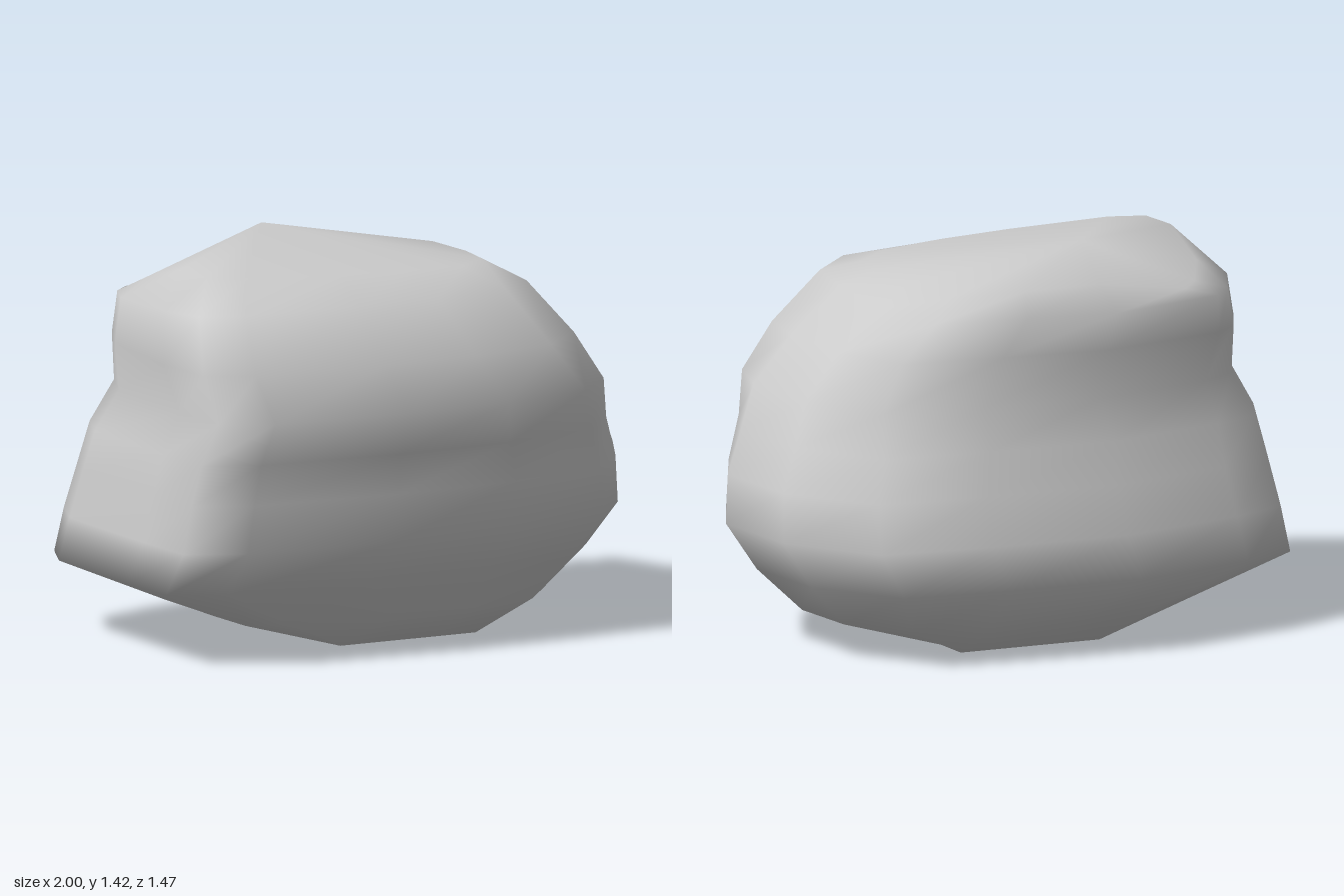
import * as THREE from 'three';

// Plan outlines of the boulder, each axis normalised to -1..1, starting at the front
const lowOutline = [
  [-0.2, 1], [0.3, 0.97], [0.7, 0.83], [0.87, 0.55], [1, 0.17], [0.97, -0.42], [0.75, -0.92], [0.33, -0.98],
  [-0.2, -1], [-0.7, -0.8], [-0.92, -0.66], [-1, -0.39], [-1, 0.4], [-0.99, 0.8], [-0.78, 0.94],
];
// The upper part is cut away at its back -x corner
const highOutline = [
  [-0.15, 1], [0.3, 0.98], [0.72, 0.88], [0.96, 0.6], [1, 0.2], [1, -0.4], [0.88, -0.86], [0.4, -0.93],
  [-0.07, -1], [-0.7, -0.81], [-0.81, -0.66], [-0.93, -0.34], [-1, 0.37], [-0.98, 0.8], [-0.78, 0.95],
];

// Height, extents at that height (x min, x max, z min, z max), rise towards the front
const layers = [
  [0, -0.22, 0.33, -0.43, 0.31, 0],
  [0.11, -0.62, 0.74, -0.58, 0.43, 0],
  [0.27, -1, 0.91, -0.735, 0.57, 0],
  [0.43, -0.98, 1, -0.72, 0.67, 0],
  [0.6, -0.95, 0.98, -0.66, 0.67, 0],
  [0.75, -0.93, 0.91, -0.615, 0.7, 0],
  [0.9, -0.88, 0.84, -0.575, 0.735, 0],
  [1.07, -0.92, 0.7, -0.565, 0.68, 0],
  [1.235, -0.88, 0.54, -0.568, 0.57, 0.06],
  [1.33, -0.74, 0.45, -0.49, 0.34, 0],
];

function boulderGeometry() {
  const { lerp, clamp, smoothstep } = THREE.MathUtils;
  const n = lowOutline.length;
  const positions = [];
  const index = [];
  const top = layers.length - 1;

  // Stack the blended outlines, stretched to the extents of each layer
  layers.forEach(([y, x0, x1, z0, z1, rise], j) => {
    const t = smoothstep(y, 0.65, 1.2);
    const square = j === 0 ? 1.4 : 1; // the underside has sharper corners
    lowOutline.forEach(([u, v], i) => {
      const [hu, hv] = highOutline[i];
      const a = clamp(lerp(u, hu, t) * square, -1, 1);
      const b = clamp(lerp(v, hv, t) * square, -1, 1);
      const x = (x0 + x1 + a * (x1 - x0)) / 2;
      const z = (z0 + z1 + b * (z1 - z0)) / 2;
      // The rim of the top leans down to +x, to the back and most at the back -x corner
      const drop = j === top
        ? 0.04 * x + 0.15 * Math.max(0, -z - 0.2) + 0.4 * Math.max(0, -x - z - 0.75) : 0;
      positions.push(x, y + rise * z - drop, z);
    });
  });
  const base = positions.length / 3;
  positions.push(0.05, 0, -0.06); // underside centre
  positions.push(-0.2, 1.42, -0.31); // peak, towards the back

  for (let i = 0; i < n; i++) {
    const k = (i + 1) % n;
    for (let j = 0; j < top; j++) {
      const a = j * n + i, b = j * n + k;
      index.push(a, b, b + n, a, b + n, a + n);
    }
    index.push(k, i, base);
    index.push(top * n + i, top * n + k, base + 1);
  }

  const geometry = new THREE.BufferGeometry();
  geometry.setAttribute('position', new THREE.Float32BufferAttribute(positions, 3));
  geometry.setIndex(index);
  geometry.computeVertexNormals();
  return geometry;
}

export function createModel() {
  const group = new THREE.Group();
  group.name = 'rock';
  const boulder = new THREE.Mesh(boulderGeometry(), new THREE.MeshStandardMaterial({ color: 0xcccccc }));
  boulder.name = 'boulder';
  group.add(boulder);
  return group;
}
